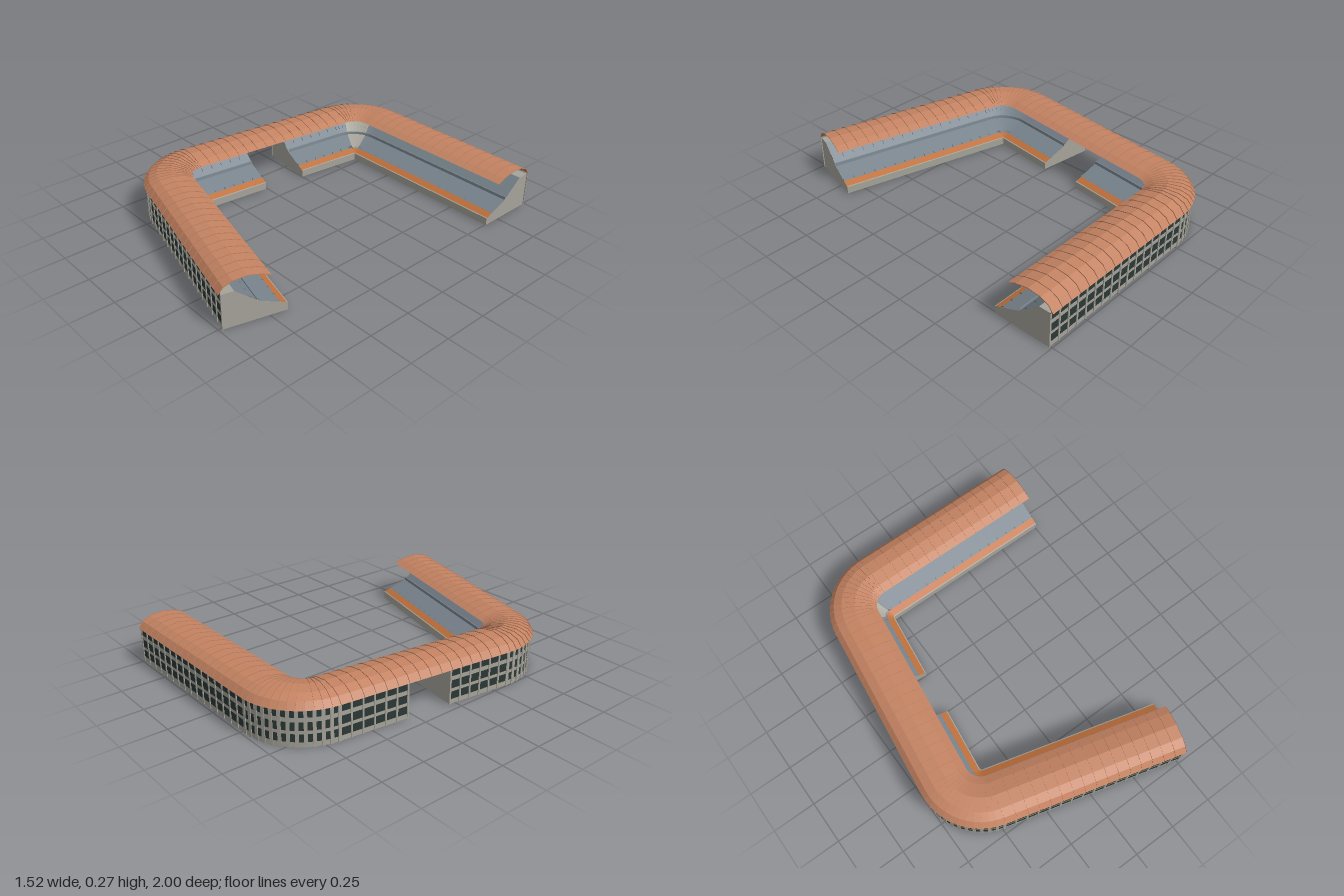
import * as THREE from 'three';

const R = 0.36; // distance from the path to the outer eave; depths (d) run inward from there

const mat = (name, color) => {
  const m = new THREE.MeshStandardMaterial({ color, side: THREE.DoubleSide });
  m.name = name;
  return m;
};

// Stations along the path: centre (x, z) and outward normal (nx, nz)
const straight = (a, b, t0, t1, n) => {
  const dx = b[0] - a[0], dz = b[1] - a[1], l = Math.hypot(dx, dz);
  return Array.from({ length: n + 1 }, (_, i) => {
    const t = t0 + (t1 - t0) * i / n;
    return { x: a[0] + dx * t, z: a[1] + dz * t, nx: -dz / l, nz: dx / l };
  });
};
const corner = (c, from, to, n) => {
  const a0 = Math.atan2(from.nz, from.nx);
  let da = Math.atan2(to.nz, to.nx) - a0;
  da = Math.atan2(Math.sin(da), Math.cos(da));
  return Array.from({ length: n + 1 }, (_, i) => {
    const a = a0 + da * i / n;
    return { x: c[0], z: c[1], nx: Math.cos(a), nz: Math.sin(a) };
  });
};

// World point at depth d, height y, shifted s along the path
const at = (st, [d, y], s = 0) => [
  st.x + st.nx * (R - d) - st.nz * s, y, st.z + st.nz * (R - d) + st.nx * s];

// Quads between two rows of points
const strip = (out, a, b) => {
  for (let i = 0; i < a.length - 1; i++)
    out.push(...a[i], ...b[i], ...b[i + 1], ...a[i], ...b[i + 1], ...a[i + 1]);
};
const meshOf = (name, positions, material) => {
  const g = new THREE.BufferGeometry();
  g.setAttribute('position', new THREE.Float32BufferAttribute(positions, 3));
  g.computeVertexNormals();
  const m = new THREE.Mesh(g, material);
  m.name = name;
  return m;
};
const sweep = (name, profile, stations, material) => {
  const out = [];
  for (let i = 0; i < stations.length - 1; i++)
    strip(out, profile.map(p => at(stations[i], p)), profile.map(p => at(stations[i + 1], p)));
  return meshOf(name, out, material);
};
// Thin plate across the path at every station, between two profile lines
const plates = (name, lineA, lineB, stations, material) => {
  const out = [];
  for (const st of stations) strip(out, lineA.map(p => at(st, p)), lineB.map(p => at(st, p)));
  return meshOf(name, out, material);
};

export function createModel() {
  const concrete = mat('concrete', 0xa5a399);
  const glass = mat('darkGlass', 0x2b3836);
  const terracotta = mat('terracottaRoof', 0xc48362);
  const slate = mat('slateSeats', 0x78838c);
  const orange = mat('orangeSeats', 0xc0703b);

  // Path: back wing, side wing with a gateway, front wing
  const E1 = [0.755, -0.64], C1 = [-0.275, -0.637], C2 = [-0.4, 0.385], E2 = [0.601, 0.647];
  const backWing = straight(E1, C1, 0, 1, 16);
  const sideA = straight(C1, C2, 0, 0.378, 6);
  const gate = straight(C1, C2, 0.378, 0.632, 4);
  const sideB = straight(C1, C2, 0.632, 1, 6);
  const frontWing = straight(C2, E2, 0, 1, 16);
  const cornerA = corner(C1, backWing[0], sideA[0], 12);
  const cornerB = corner(C2, sideB[0], frontWing[0], 12);

  // Profiles as [depth, height]
  const roof = [[0, 0.2], [0.028, 0.235], [0.075, 0.256], [0.15, 0.263], [0.225, 0.247], [0.27, 0.228]];
  const roofRib = [[-0.002, 0.203], [0.025, 0.239], [0.073, 0.26], [0.15, 0.267], [0.227, 0.251], [0.27, 0.23]];
  const W = 0.014;
  const section = [[W, 0.2], [0.08, 0.2], [0.19, 0.112], [0.2, 0.102], [0.35, 0.042]];
  const ground = section.map(([d]) => [d, 0]);
  const lining = [[W + 0.004, 0], [W + 0.004, 0.195], [0.078, 0.195], [0.187, 0.107], [0.198, 0.097], [0.346, 0.037]];

  const model = new THREE.Group();
  model.name = 'grandstand';

  const stand = (name, straights, bend) => {
    const g = new THREE.Group();
    g.name = name;
    const all = [straights[0], bend, straights[1]].flat();
    // Facade: alternating concrete and window bands
    const levels = [0, 0.027, 0.07, 0.088, 0.133, 0.157, 0.2];
    for (let i = 0; i < 6; i++)
      g.add(sweep(i % 2 ? 'windowBand' : 'facadeBand', [[W, levels[i]], [W, levels[i + 1]]],
        all, i % 2 ? glass : concrete));
    // Mullions: shallow box-shaped posts, wider around the bend
    const mullions = (stations, half) => {
      const out = [];
      const row = (st, y) => [[W, -half], [W - 0.004, -half], [W - 0.004, half], [W, half]]
        .map(([d, s]) => at(st, [d, y], s));
      for (const st of stations) strip(out, row(st, 0), row(st, 0.2));
      return meshOf('mullions', out, concrete);
    };
    g.add(mullions(straights.flat(), 0.005), mullions(bend, 0.009));
    // Seating tiers
    g.add(sweep('topWalkway', [[W, 0.2], [0.08, 0.2]], all, concrete));
    g.add(sweep('upperSeats', [[0.08, 0.2], [0.19, 0.112]], all, slate));
    g.add(sweep('tierLip', [[0.19, 0.112], [0.191, 0.118], [0.197, 0.118], [0.2, 0.102]], all, slate));
    g.add(sweep('lowerSeats', [[0.2, 0.102], [0.308, 0.06]], all, slate));
    g.add(sweep('frontRows', [[0.308, 0.06], [0.344, 0.044]], all, orange));
    g.add(sweep('frontParapet', [[0.344, 0.044], [0.35, 0.042], [0.35, 0]], all, concrete));
    // Aisle rails
    g.add(plates('frontRails', [[0.296, 0.065], [0.31, 0.059]], [[0.296, 0.072], [0.31, 0.066]], all, slate));
    g.add(plates('upperRails', [[0.15, 0.144], [0.165, 0.132]], [[0.15, 0.151], [0.165, 0.139]], all, slate));
    // Hollow underside: lining, cross walls in every bay, closed ends
    g.add(sweep('innerLining', lining, all, concrete));
    g.add(plates('crossWalls', ground, section, all, concrete));
    model.add(g);
    return g;
  };

  const backStand = stand('backStand', [backWing, sideA], cornerA);
  stand('frontStand', [sideB, frontWing], cornerB);

  // Plain stair wedge in the back corner
  const wedge = cornerA.slice(3, 10);
  backStand.add(sweep('cornerStair', [[0.1, 0.187], [0.188, 0.117]], wedge, concrete));
  backStand.add(sweep('cornerStairFoot', [[0.2, 0.105], [0.308, 0.063]], wedge, concrete));

  // Continuous curved roof with thin standing ribs
  const whole = [backWing, cornerA, sideA, gate, sideB, cornerB, frontWing].flat();
  model.add(sweep('roof', roof, whole, terracotta));
  model.add(plates('roofRibs', roof, roofRib, whole, terracotta));
  return model;
}
